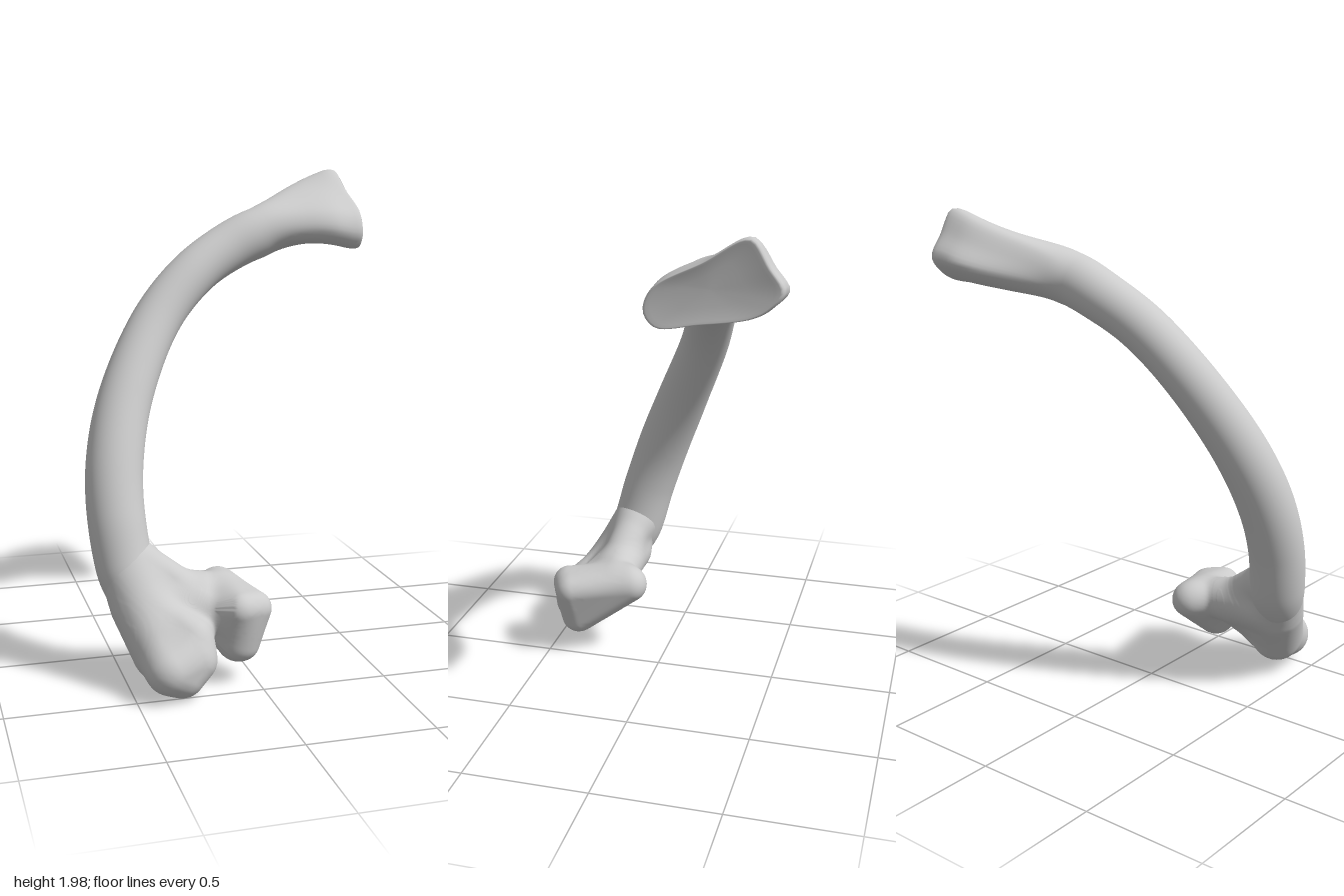
import * as THREE from 'three';
import { mergeVertices } from 'three/addons/utils/BufferGeometryUtils.js';

const V = (x, y, z) => new THREE.Vector3(x, y, z);
const material = new THREE.MeshStandardMaterial({ color: 0xcccccc });

// Curved round shaft that flares into a flat-ended wedge
function shaftGeometry() {
  const path = new THREE.CatmullRomCurve3([
    V(-0.385, 0.17, 0.39), V(-0.473, 0.4, 0.245), V(-0.508, 0.65, 0.172), V(-0.497, 0.86, 0.1),
    V(-0.43, 1.1, 0), V(-0.27, 1.39, -0.13), V(-0.105, 1.565, -0.195),
    V(0.05, 1.665, -0.235), V(0.2, 1.73, -0.255), V(0.4, 1.765, -0.29), V(0.59, 1.81, -0.34),
  ]);
  // Outline of the wedge's end, in the yz plane
  const outline = new THREE.CatmullRomCurve3([
    V(0, 1.805, -0.135), V(0, 1.72, -0.103), V(0, 1.665, -0.145), V(0, 1.682, -0.3), V(0, 1.715, -0.49),
    V(0, 1.755, -0.56), V(0, 1.815, -0.602), V(0, 1.9, -0.55), V(0, 1.99, -0.492),
    V(0, 1.99, -0.458), V(0, 1.91, -0.325),
  ], true, 'centripetal');
  const endCentre = V(0, 1.81, -0.34);
  const planeNormal = V(-0.12, 0.43, 0.9).normalize();
  const sides = 64, steps = 110;
  const positions = [], index = [];
  const addRing = (f) => { for (let j = 0; j < sides; j++) positions.push(...f(j / sides).toArray()); };

  for (let i = 0; i <= steps; i++) {
    const u = i / steps;
    const c = path.getPointAt(u), t = path.getTangentAt(u);
    const v = planeNormal.clone().addScaledVector(t, -planeNormal.dot(t)).normalize();
    const w = t.clone().cross(v);
    // the foot narrows to vanish inside the head
    const foot = 0.5 + 0.5 * THREE.MathUtils.smoothstep(u, 0, 0.15);
    const r = foot * (0.114 - 0.016 * THREE.MathUtils.smoothstep(u, 0.3, 0.65) + 0.008 * THREE.MathUtils.smoothstep(u, 0.7, 0.85));
    const flareZ = THREE.MathUtils.smoothstep(c.x, 0.17, 0.52);
    const flareY = THREE.MathUtils.clamp((c.x - 0.2) / 0.38, 0, 1);
    addRing((s) => {
      const a = s * Math.PI * 2;
      const p = c.clone().addScaledVector(v, r * Math.cos(a)).addScaledVector(w, r * Math.sin(a));
      const q = outline.getPointAt(s);
      return V(
        THREE.MathUtils.lerp(p.x, c.x, flareZ),
        THREE.MathUtils.lerp(p.y, q.y, flareY),
        THREE.MathUtils.lerp(p.z, q.z, flareZ),
      );
    });
  }
  // Softened rim and slightly dished end face
  const rim = [[0.606, 0.995], [0.616, 0.975], [0.619, 0.94], [0.614, 0.88], [0.607, 0.5], [0.606, 0.001]];
  for (const [x, k] of rim) addRing((s) => outline.getPointAt(s).sub(endCentre).multiplyScalar(k).add(endCentre).setX(x));

  for (let i = 0; i < steps + rim.length; i++) {
    for (let j = 0; j < sides; j++) {
      const a = i * sides + j, b = i * sides + (j + 1) % sides;
      index.push(a, b, a + sides, b, b + sides, a + sides);
    }
  }
  const g = new THREE.BufferGeometry();
  g.setAttribute('position', new THREE.Float32BufferAttribute(positions, 3));
  g.setIndex(index);
  g.computeVertexNormals();
  return g;
}

// Two-lobed head: rounded triangles blended into one smooth skin
function headGeometry() {
  const slab = (a, b, c, r) => ({ tri: new THREE.Triangle(V(...a), V(...b), V(...c)), r });
  const slabs = [
    // neck wrapping the foot of the shaft
    slab([-0.485, 0.47, 0.222], [-0.385, 0.16, 0.39], [-0.45, 0.32, 0.29], 0.108),
    // front lobe
    slab([-0.37, 0.125, 0.5], [-0.27, 0.145, 0.465], [-0.32, 0.098, 0.48], 0.09),
    slab([-0.43, 0.33, 0.29], [-0.365, 0.13, 0.48], [-0.27, 0.22, 0.43], 0.083),
    // web between shaft, bridge and front lobe
    slab([-0.45, 0.49, 0.22], [-0.24, 0.335, 0.26], [-0.38, 0.25, 0.33], 0.08),
    slab([-0.42, 0.3, 0.27], [-0.2, 0.325, 0.25], [-0.29, 0.16, 0.42], 0.078),
    // bridge
    slab([-0.4, 0.34, 0.22], [-0.13, 0.335, 0.23], [-0.13, 0.29, 0.36], 0.073),
    // inner lobe
    slab([-0.085, 0.325, 0.15], [-0.008, 0.305, 0.395], [-0.052, 0.163, 0.38], 0.068),
    slab([-0.1, 0.33, 0.17], [-0.075, 0.315, 0.427], [-0.085, 0.17, 0.38], 0.068),
  ];
  const hit = V(0, 0, 0), k = 0.045;
  const field = (p) => slabs.reduce((d, s) => {
    const e = s.tri.closestPointToPoint(p, hit).distanceTo(p) - s.r;
    const h = Math.max(k - Math.abs(d - e), 0) / k;
    return Math.min(d, e) - h * h * k * 0.25;
  }, 10);

  let g = new THREE.IcosahedronGeometry(1, 45);
  g.deleteAttribute('normal');
  g.deleteAttribute('uv');
  g = mergeVertices(g, 1e-5);
  const centre = V(-0.25, 0.29, 0.32), pos = g.attributes.position;
  const dir = V(0, 0, 0), p = V(0, 0, 0);
  for (let i = 0; i < pos.count; i++) {
    dir.fromBufferAttribute(pos, i).normalize();
    // step inward until the skin is met
    let r = 0.6;
    for (let n = 0; n < 60 && r > 0.02; n++) {
      const d = field(p.copy(centre).addScaledVector(dir, r));
      if (d < 0.0005) break;
      r -= d * 0.95;
    }
    p.copy(centre).addScaledVector(dir, Math.max(r, 0.02));
    pos.setXYZ(i, p.x, p.y, p.z);
  }
  g.computeVertexNormals();
  return g;
}

export function createModel() {
  const model = new THREE.Group();
  model.name = 'curvedBone';
  const add = (name, geometry) => {
    const mesh = new THREE.Mesh(geometry, material);
    mesh.name = name;
    model.add(mesh);
  };
  add('shaftWithFlaredEnd', shaftGeometry());
  add('lobedHead', headGeometry());
  return model;
}
